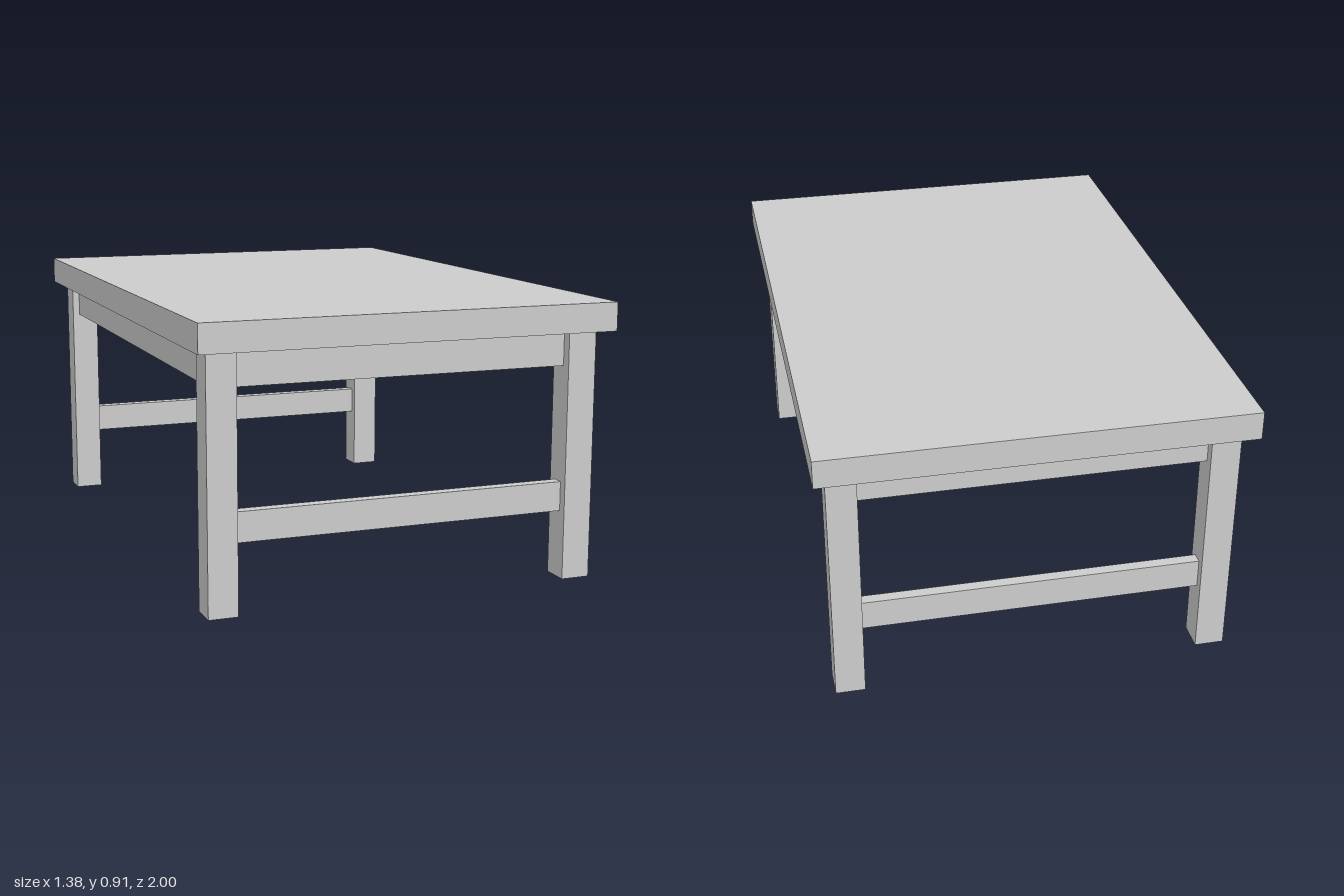
import * as THREE from 'three';

export function createModel() {
  const table = new THREE.Group();
  table.name = 'table';
  const material = new THREE.MeshStandardMaterial({ color: 0xcccccc, flatShading: true });

  // Box given by its low and high corners
  function addBox(name, [x0, y0, z0], [x1, y1, z1]) {
    const mesh = new THREE.Mesh(new THREE.BoxGeometry(x1 - x0, y1 - y0, z1 - z0), material);
    mesh.position.set((x0 + x1) / 2, (y0 + y1) / 2, (z0 + z1) / 2);
    mesh.name = name;
    table.add(mesh);
  }

  addBox('tabletop', [-0.69, 0.817, -1], [0.69, 0.91, 1]);

  // Four square legs
  for (const x of [-0.602, 0.602]) {
    for (const z of [-0.893, 0.893]) {
      addBox('leg', [x - 0.048, 0, z - 0.048], [x + 0.048, 0.817, z + 0.048]);
    }
  }

  // Apron frame under the top: one ring with a rectangular opening
  const rect = (Type, w, d) => new Type([
    new THREE.Vector2(-w, -d), new THREE.Vector2(w, -d),
    new THREE.Vector2(w, d), new THREE.Vector2(-w, d),
  ]);
  const frame = rect(THREE.Shape, 0.625, 0.908);
  frame.holes.push(rect(THREE.Path, 0.525, 0.76));
  const apronGeometry = new THREE.ExtrudeGeometry(frame, { depth: 0.117, bevelEnabled: false });
  apronGeometry.rotateX(-Math.PI / 2);
  const apron = new THREE.Mesh(apronGeometry, material);
  apron.position.y = 0.7;
  apron.name = 'apron';
  table.add(apron);

  // Low stretchers between the legs at the front and back
  for (const z of [-0.893, 0.893]) {
    addBox('stretcher', [-0.56, 0.223, z - 0.019], [0.56, 0.32, z + 0.019]);
  }

  return table;
}
